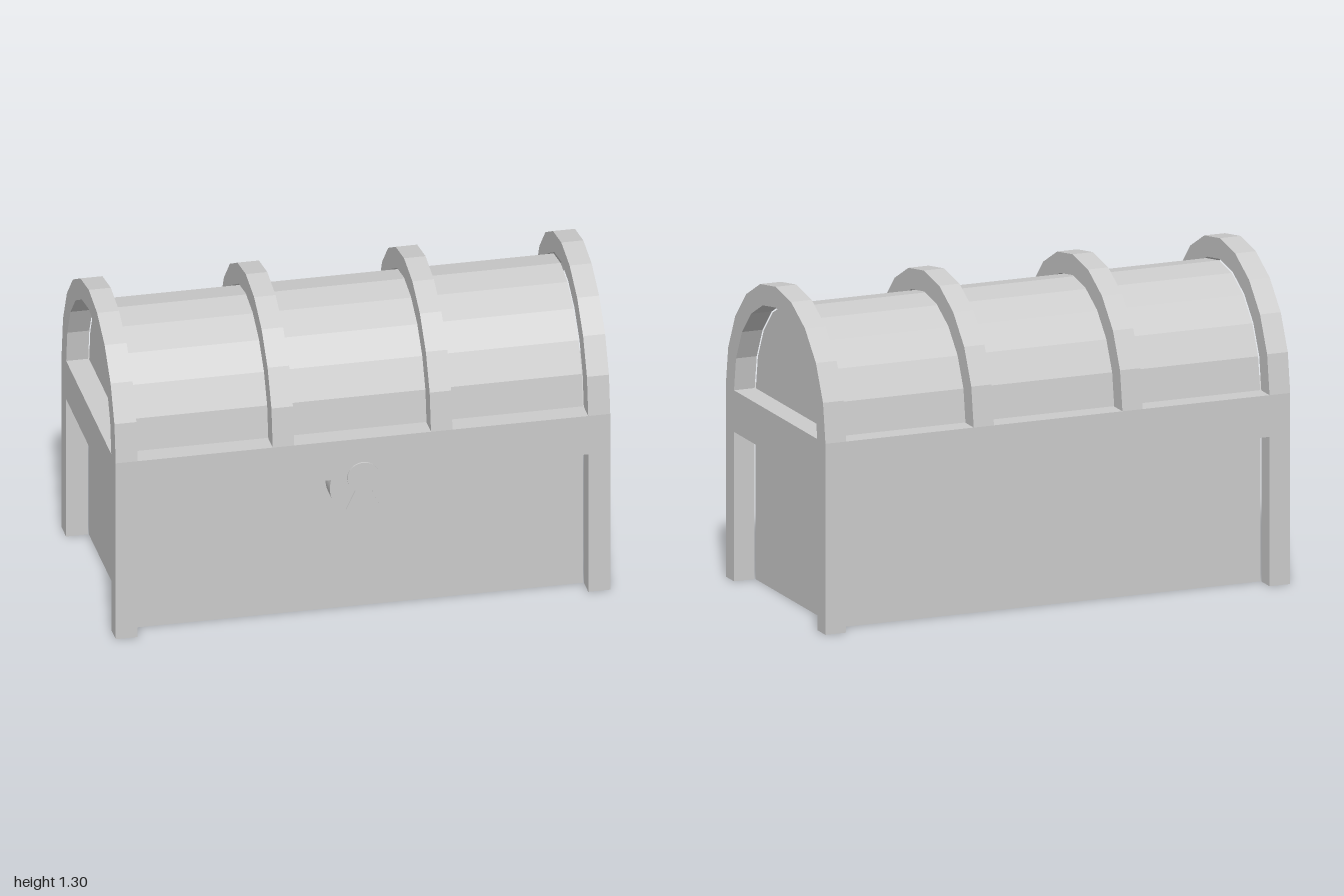
import * as THREE from 'three';

const MID = -0.004;            // middle of the frame in z
const HALF = 0.496;            // half depth of the frame
const RIM = 0.78, RAIL = 0.61; // top and bottom of the rail
const INNER = 0.414;           // half depth inside the frame

export function createModel() {
  const group = new THREE.Group();
  group.name = 'treasureChest';
  const material = new THREE.MeshStandardMaterial({ color: 0xcccccc, flatShading: true });

  const add = (name, geometry) => {
    const mesh = new THREE.Mesh(geometry, material);
    mesh.name = name;
    group.add(mesh);
  };
  const box = (name, x0, x1, y0, y1, z0, z1) =>
    add(name, new THREE.BoxGeometry(x1 - x0, y1 - y0, z1 - z0)
      .translate((x0 + x1) / 2, (y0 + y1) / 2, (z0 + z1) / 2));

  // Ten-sided half ellipse standing on the rim
  const halfEllipse = (rz, ry) => Array.from({ length: 11 }, (_, i) => {
    const a = (i / 10) * Math.PI;
    return new THREE.Vector2(rz * Math.cos(a), RIM + ry * Math.sin(a));
  });
  // Extrude a side profile along x
  const extrudeX = (points, x0, x1) =>
    new THREE.ExtrudeGeometry(new THREE.Shape(points), { depth: x1 - x0, bevelEnabled: false })
      .rotateY(Math.PI / 2).translate(x0, 0, MID);

  // Lower box, rail and corner legs
  box('body', -0.908, 0.908, 0, RAIL + 0.02, MID - 0.411, MID + 0.414);
  box('rail', -1, 1, RAIL, RIM, MID - HALF, MID + HALF);
  for (const sx of [-1, 1]) {
    const x0 = sx > 0 ? 0.911 : -1;
    box('frontLeg', x0, x0 + 0.089, 0, RAIL, MID + INNER, MID + HALF);
    box('backLeg', x0, x0 + 0.089, 0, RAIL, MID - HALF, MID - INNER - 0.002);
  }

  // Barrel lid and the four arched bands around it
  add('lid', extrudeX(halfEllipse(0.409, 0.432), -0.908, 0.908));
  const arch = [...halfEllipse(HALF, 0.522), ...halfEllipse(INNER, 0.437).reverse()];
  for (const [x0, x1] of [[-1, -0.911], [-0.365, -0.278], [0.275, 0.362], [0.911, 1]]) {
    add('lidBand', extrudeX(arch, x0, x1));
  }

  // Rounded lock plate hanging from the rail
  const plate = new THREE.Shape();
  const r = 0.134, cy = 0.572, a = Math.asin((RAIL - cy) / r);
  plate.absarc(0, cy, r, Math.PI - a, Math.PI * 2 + a, false);
  plate.closePath();
  add('lockPlate', new THREE.ExtrudeGeometry(plate, { depth: HALF + MID - 0.4, bevelEnabled: false, curveSegments: 20 })
    .translate(0, 0, 0.4));

  // Raised keyhole: round head over a flared foot
  const key = new THREE.Shape();
  key.moveTo(-0.07, 0.475);
  key.lineTo(0.07, 0.475);
  key.lineTo(0.032, 0.556);
  const start = Math.atan2(0.556 - 0.612, 0.032);
  key.absarc(0, 0.612, 0.0645, start, Math.PI - start, false);
  key.closePath();
  add('keyhole', new THREE.ExtrudeGeometry(key, { depth: 0.02, bevelEnabled: false, curveSegments: 16 })
    .translate(0, 0, 0.48));

  return group;
}
